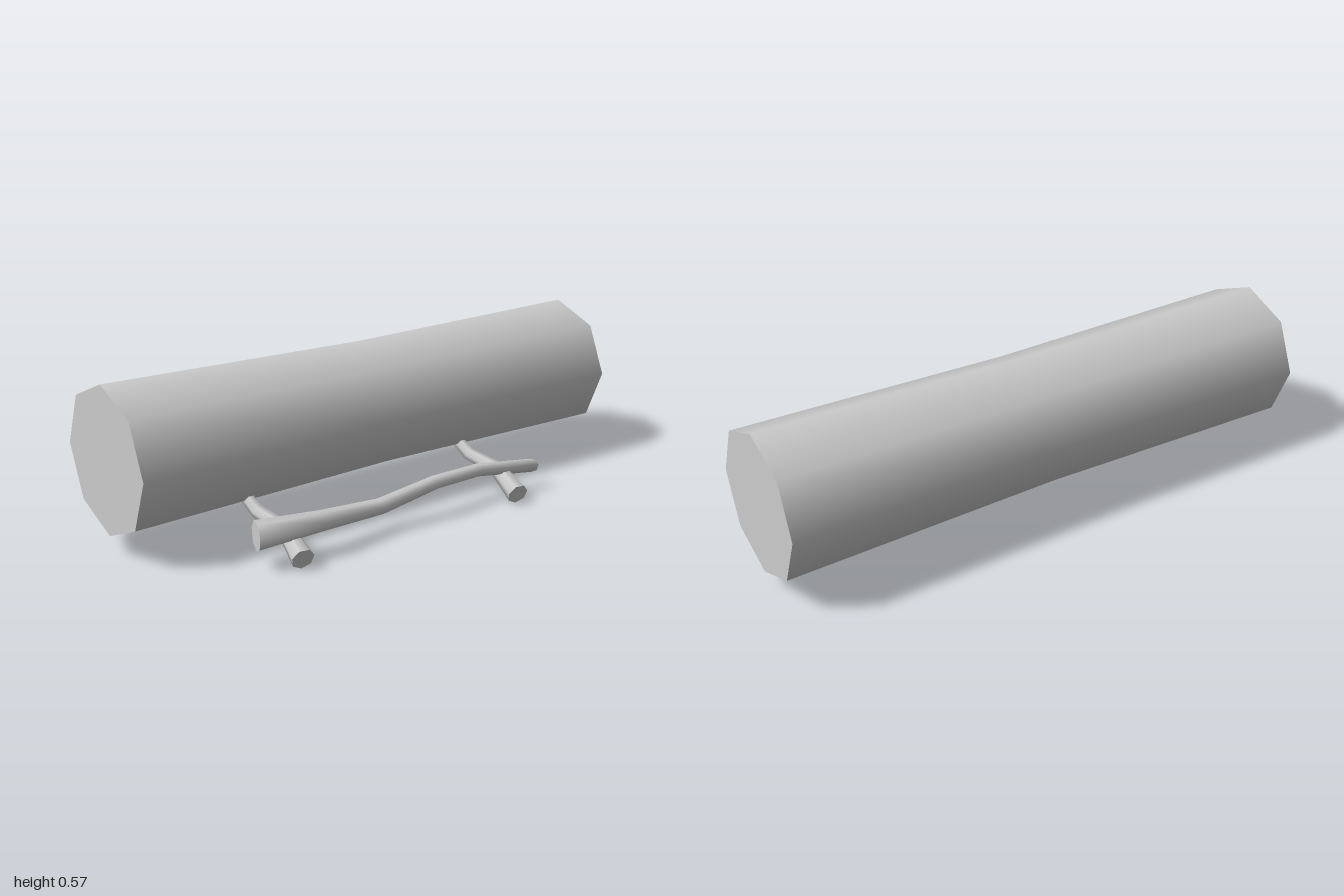
import * as THREE from 'three';

const material = new THREE.MeshStandardMaterial({ color: 0xcccccc });

// Capped, tapered limb through points [x, y, z, radius]; one polygon corner faces down.
// firstDir / lastDir optionally tilt the two end cuts.
function limb(name, points, sides, firstDir, lastDir) {
  const n = points.length;
  const centres = points.map(([x, y, z]) => new THREE.Vector3(x, y, z));
  const frames = centres.map((c, i) => {
    const prev = centres[Math.max(i - 1, 0)];
    const next = centres[Math.min(i + 1, n - 1)];
    let axis = prev.clone().sub(next).normalize();
    if (i === 0 && firstDir) axis = new THREE.Vector3(...firstDir).normalize();
    if (i === n - 1 && lastDir) axis = new THREE.Vector3(...lastDir).normalize();
    const down = new THREE.Vector3(0, -1, 0);
    down.addScaledVector(axis, -down.dot(axis)).normalize();
    const side = axis.clone().cross(down);
    return new THREE.Matrix4().makeBasis(side, axis, down);
  });

  // Bend a unit cylinder, ring by ring, onto the path
  const geometry = new THREE.CylinderGeometry(1, 1, 1, sides, n - 1);
  const pos = geometry.attributes.position;
  const nor = geometry.attributes.normal;
  const v = new THREE.Vector3();
  for (let k = 0; k < pos.count; k++) {
    const i = Math.round((0.5 - pos.getY(k)) * (n - 1));
    v.set(pos.getX(k), 0, pos.getZ(k)).multiplyScalar(points[i][3]);
    v.applyMatrix4(frames[i]).add(centres[i]);
    pos.setXYZ(k, v.x, v.y, v.z);
    v.fromBufferAttribute(nor, k).applyMatrix4(frames[i]);
    nor.setXYZ(k, v.x, v.y, v.z);
  }
  const mesh = new THREE.Mesh(geometry, material);
  mesh.name = name;
  return mesh;
}

export function createModel() {
  const group = new THREE.Group();
  group.name = 'logWithBranches';

  // Heavy eight-sided log with a slight waist
  group.add(limb('log', [
    [-0.12, 0.32, 1, 0.252],
    [-0.12, 0.32, 0, 0.236],
    [-0.12, 0.32, -1, 0.252],
  ], 8));

  // Two short side branches growing out of the log
  [['frontSideBranch', 0], ['backSideBranch', -0.925]].forEach(([name, dz]) => {
    group.add(limb(name, [
      [0.353, 0.038, 0.58 + dz, 0.039],
      [0.22, 0.088, 0.555 + dz, 0.028],
      [0.09, 0.115, 0.575 + dz, 0.024],
      [0.025, 0.157, 0.582 + dz, 0.022],
    ], 7));
  });

  // Crooked long stick lying across the side branches
  group.add(limb('longStick', [
    [0.258, 0.112, 0.69, 0.051],
    [0.285, 0.114, 0.46, 0.036],
    [0.255, 0.091, 0.2, 0.029],
    [0.265, 0.127, -0.03, 0.025],
    [0.248, 0.12, -0.25, 0.024],
    [0.268, 0.09, -0.495, 0.025],
  ], 7, [-0.3, 0, 0.95], [0.5, 0.1, 0.8]));

  return group;
}
